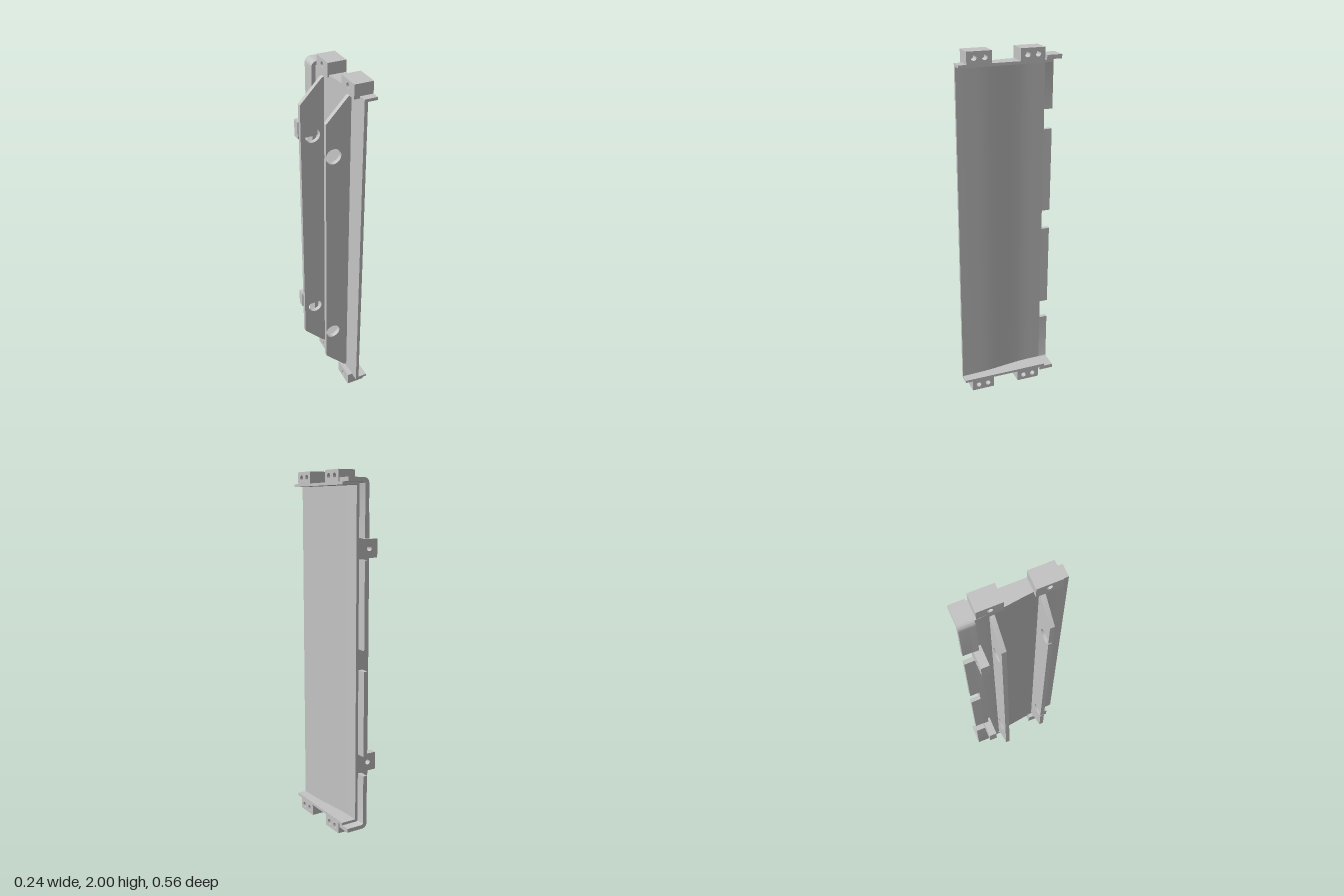
import * as THREE from 'three';
import { toCreasedNormals } from 'three/addons/utils/BufferGeometryUtils.js';

export function createModel() {
  const model = new THREE.Group();
  model.name = 'mountingPanel';
  const grey = new THREE.MeshStandardMaterial({ color: 0xc4c4c4 });
  grey.name = 'light grey';

  const add = (name, geometry) => {
    const mesh = new THREE.Mesh(toCreasedNormals(geometry, 0.5), grey);
    mesh.name = name;
    model.add(mesh);
  };
  const polygon = pts => new THREE.Shape(pts.map(p => new THREE.Vector2(p[0], p[1])));
  const circle = (x, y, r) => new THREE.Path().absarc(x, y, r, 0, Math.PI * 2, true);
  const extrude = (shape, depth) =>
    new THREE.ExtrudeGeometry(shape, { depth, bevelEnabled: false, curveSegments: 16 });
  // Outline drawn in x,y and extruded along z
  const alongZ = (name, shape, z0, z1) => add(name, extrude(shape, z1 - z0).translate(0, 0, z0));
  // Outline drawn in x,-z and extruded along y
  const alongY = (name, shape, y0, y1) =>
    add(name, extrude(shape, y1 - y0).rotateX(-Math.PI / 2).translate(0, y0, 0));
  // Outline drawn in -z,y and extruded along x
  const alongX = (name, shape, x0, x1) =>
    add(name, extrude(shape, x1 - x0).rotateY(Math.PI / 2).translate(x0, 0, 0));
  const rect = (x0, y0, x1, y1) => polygon([[x0, y0], [x1, y0], [x1, y1], [x0, y1]]);

  // Gently curved main panel, given by its inner face as x, -z
  const curve = new THREE.SplineCurve([
    [0.049, -0.28], [0.046, -0.2], [0.04, -0.1], [0.022, 0.05], [0.016, 0.125], [0.014, 0.225],
  ].map(p => new THREE.Vector2(...p)));
  const inner = curve.getPoints(30).map(p => [p.x, p.y]);
  const outer = inner.map(p => [p[0] + 0.018, p[1]]).reverse();
  alongY('panel', polygon([...inner, ...outer]), 0.075, 1.925);

  // Flanges closing the panel at both ends
  const flange = polygon([...inner, [0.119, 0.225], [0.119, -0.28]]);
  alongY('topFlange', flange, 1.921, 1.936);
  alongY('bottomFlange', flange, 0.064, 0.079);

  // Drilled mounting blocks: two blind holes outside, one inside
  for (const y0 of [0, 1.925]) {
    const yc = y0 ? 1.968 : 0.032;
    for (const [z0, z1] of [[0.103, 0.237], [-0.185, -0.051]]) {
      const zc = (z0 + z1) / 2;
      const front = rect(-z1, y0, -z0, y0 + 0.075);
      const back = front.clone();
      front.holes.push(circle(-zc - 0.029, yc, 0.015), circle(-zc + 0.029, yc, 0.015));
      back.holes = [circle(-zc, yc, 0.015)];
      alongX('mountingBlockOuter', front, 0.067, 0.119);
      alongX('mountingBlockInner', back, 0.016, 0.067);
    }
  }

  // Stiffening fins with round cable holes; the front one breaks its edge
  const fin = (name, xEdge, xRoot, open, z0, z1) => {
    const s = new THREE.Shape();
    s.moveTo(xRoot, 0.085);
    s.lineTo(xRoot, 1.915);
    s.lineTo(xRoot - 0.02, 1.905);
    s.lineTo(xEdge, 1.78);
    for (const y of [1.595, 0.405]) {
      if (open) {
        const a = Math.PI - 0.21;
        s.absarc(-0.05, y, 0.043, a, -a, true);
      } else s.holes.push(circle(-0.05, y, 0.043));
    }
    s.lineTo(xEdge, 0.22);
    s.lineTo(xRoot - 0.02, 0.095);
    alongZ(name, s, z0, z1);
  };
  fin('rearFin', -0.119, 0.022, false, -0.123, -0.098);
  fin('frontFin', -0.092, 0.047, true, 0.131, 0.156);

  // Stepped rear rim: wall turning outward through a rounded corner
  const rimEnd = (top, y0, z0, z1) => {
    const m = y => (top ? y : 2 - y);
    const s = new THREE.Shape();
    s.moveTo(0.016, m(y0));
    s.lineTo(-0.008, m(y0));
    s.lineTo(-0.008, m(1.923));
    s.quadraticCurveTo(-0.008, m(1.958), 0.027, m(1.958));
    s.lineTo(0.119, m(1.958));
    s.lineTo(0.119, m(1.936));
    s.lineTo(0.028, m(1.936));
    s.quadraticCurveTo(0.016, m(1.936), 0.016, m(1.924));
    alongZ('rearRim', s, z0, z1);
  };
  for (const top of [true, false]) {
    rimEnd(top, 1, -0.225, -0.196);
    rimEnd(top, 1.65, -0.28, -0.225);
  }
  for (const y of [0.462, 1.057])
    alongZ('rearRimTab', rect(-0.008, y, 0.016, y + 0.481), -0.28, -0.225);

  // Drilled clips standing in the rim notches
  for (const y of [0.405, 1.595]) {
    const s = rect(-0.101, y - 0.05, 0.016, y + 0.05);
    s.holes.push(circle(-0.05, y, 0.015));
    alongZ('clip', s, -0.225, -0.179);
  }
  return model;
}
